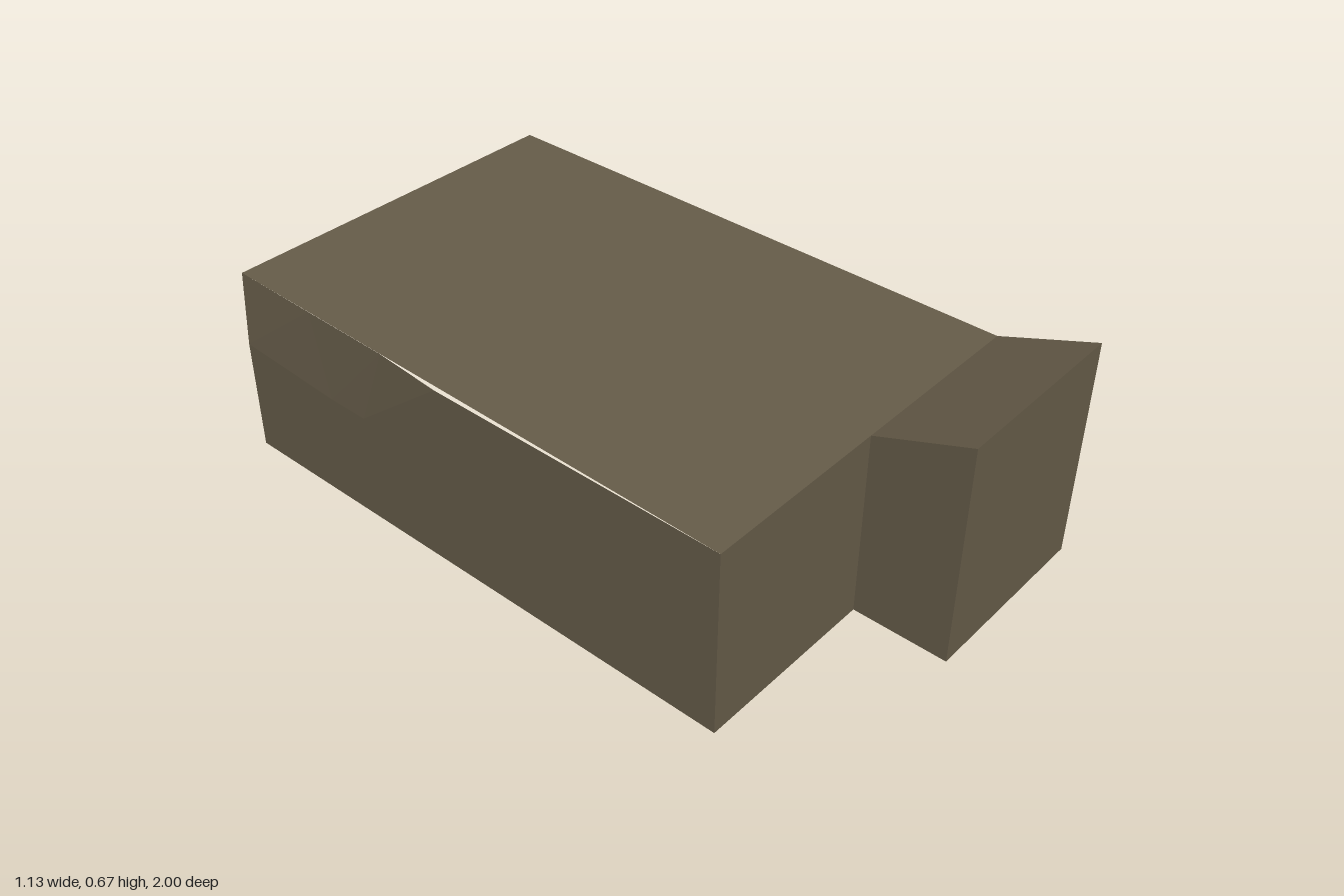
import * as THREE from 'three';

const W = 0.565, TOP = 0.567, PEAK = 0.673, STEP = 0.717;

export function createModel() {
  const model = new THREE.Group();
  const brown = new THREE.MeshStandardMaterial({ color: 0x665c49, side: THREE.DoubleSide });
  brown.name = 'brown';

  // Joins rows of points into a flat-shaded sheet
  function sheet(name, rows) {
    const pos = [];
    for (let r = 0; r < rows.length - 1; r++) {
      for (let c = 0; c < rows[r].length - 1; c++) {
        const a = rows[r][c], b = rows[r][c + 1];
        const d = rows[r + 1][c], e = rows[r + 1][c + 1];
        pos.push(...a, ...b, ...e, ...a, ...e, ...d);
      }
    }
    const geometry = new THREE.BufferGeometry();
    geometry.setAttribute('position', new THREE.Float32BufferAttribute(pos, 3));
    geometry.computeVertexNormals();
    const mesh = new THREE.Mesh(geometry, brown);
    mesh.name = name;
    model.add(mesh);
  }

  // Flat roof, narrowing slightly towards the back
  sheet('mainRoof', [
    [[-W, TOP, STEP], [W, TOP, STEP]],
    [[-0.54, TOP, -1], [W, TOP, -0.985]],
  ]);

  // Raised porch roof
  sheet('porchRoof', [
    [[0, PEAK, 1], [W, PEAK, 1]],
    [[0, TOP, STEP], [W, TOP, STEP]],
  ]);

  // Front walls and the return between them
  sheet('porchFront', [
    [[0, 0, 1], [W, 0, 1]],
    [[0, PEAK, 1], [W, PEAK, 1]],
  ]);
  sheet('porchSide', [
    [[0, 0, STEP], [0, 0, 1]],
    [[0, TOP, STEP], [0, PEAK, 1]],
  ]);
  sheet('frontWall', [
    [[-W, 0, STEP], [0, 0, STEP]],
    [[-W, TOP, STEP], [0, TOP, STEP]],
  ]);

  // Long side wall, its top leaning in to the roof near the back
  sheet('sideWall', [
    [[-W, 0, -0.985], [-W, 0, -0.7], [-W, 0, -0.42], [-W, 0, -0.15], [-W, 0, STEP]],
    [[-W, 0.35, -0.985], [-W, 0.33, -0.63], [-W, 0.33, -0.5], [-W, 0.33, -0.3], [-W, 0.33, STEP]],
    [[-0.54, TOP, -1], [-0.545, TOP, -0.71], [-0.549, TOP, -0.42], [-W, TOP, -0.2], [-W, TOP, STEP]],
  ]);

  return model;
}
